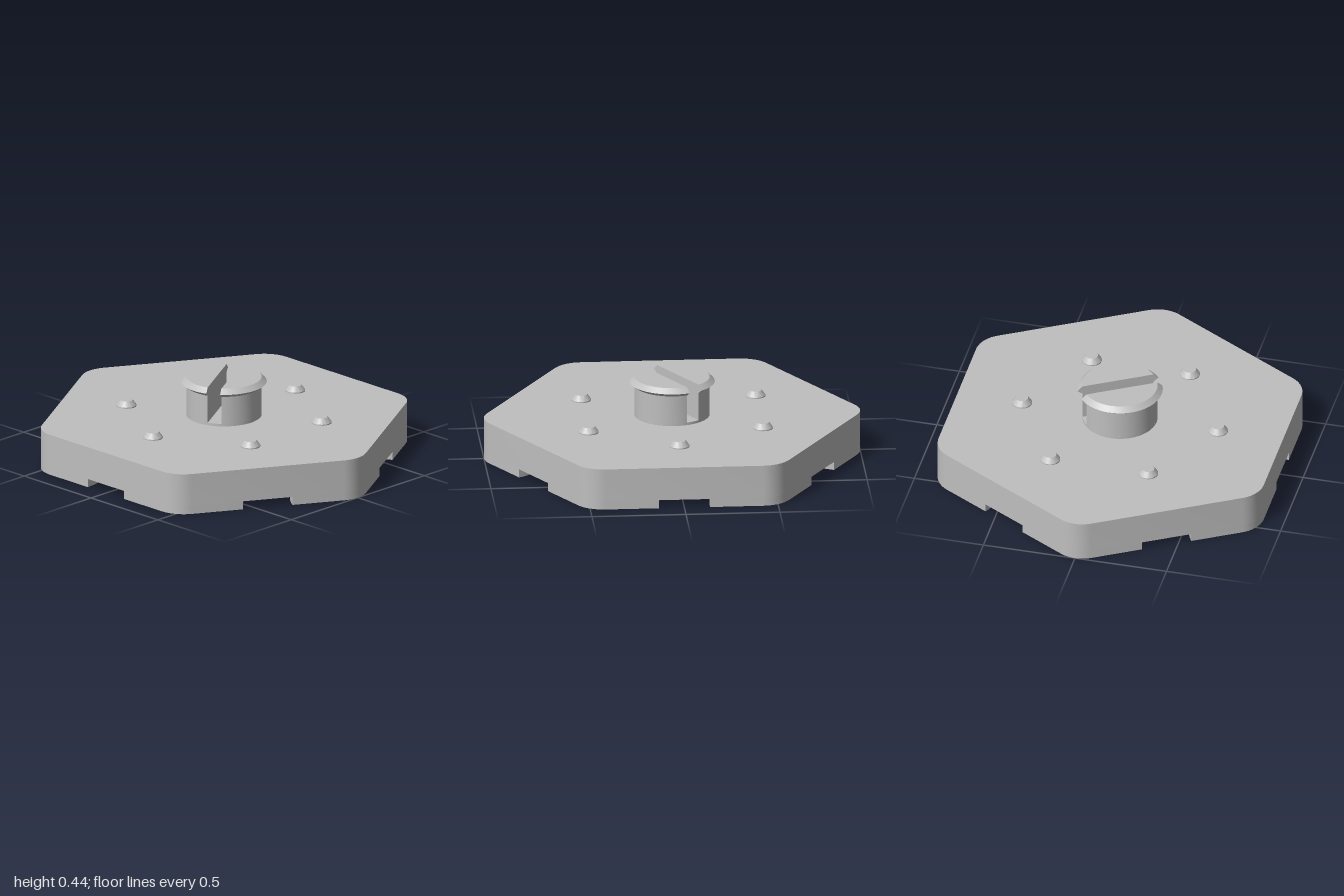
import * as THREE from 'three';
import { mergeGeometries, toCreasedNormals } from 'three/addons/utils/BufferGeometryUtils.js';

const DEG = Math.PI / 180;
const HEX = 1.0254, ROUND = 0.164;              // hexagon corner distance, corner rounding
const TOP = 0.224, GROOVE = 0.045;              // slab height, groove depth
const R_IN = 0.377, R_OUT = 0.649;              // groove radii around a corner
const PEG_R = 0.2, SLOT_HALF = 0.0375, SLOT_Y = 0.238;

// points of an arc in the (x, z) plane, angles in degrees
function arc(cx, cz, r, from, to, n) {
  return Array.from({ length: n + 1 }, (_, i) => {
    const a = (from + (to - from) * i / n) * DEG;
    return new THREE.Vector2(cx + r * Math.cos(a), cz + r * Math.sin(a));
  });
}
const polar = (r, deg) => [r * Math.cos(deg * DEG), r * Math.sin(deg * DEG)];
const roundedCorner = (deg) => arc(...polar(HEX - ROUND / Math.cos(30 * DEG), deg), ROUND, deg - 30, deg + 30, 10);
const grooveArc = (deg, r, from, to) => arc(...polar(HEX, deg), r, deg + from, deg + to, 32);

// side wall between two matching counterclockwise loops
function wall(lower, y0, upper, y1) {
  const pos = [];
  lower.forEach((a, i) => {
    const j = (i + 1) % lower.length;
    const b = lower[j], c = upper[j], d = upper[i];
    pos.push(a.x, y0, a.y, c.x, y1, c.y, b.x, y0, b.y);
    pos.push(a.x, y0, a.y, d.x, y1, d.y, c.x, y1, c.y);
  });
  const g = new THREE.BufferGeometry();
  g.setAttribute('position', new THREE.Float32BufferAttribute(pos, 3));
  return g;
}

// flat face filling a loop, looking up or down
function face(points, y, up) {
  const flat = points.map((p) => new THREE.Vector2(p.x, up ? -p.y : p.y));
  const g = new THREE.ShapeGeometry(new THREE.Shape(flat)).toNonIndexed();
  g.rotateX(up ? -Math.PI / 2 : Math.PI / 2).translate(0, y, 0);
  g.deleteAttribute('uv');
  g.deleteAttribute('normal');
  return g;
}

function part(name, geometries, material) {
  const mesh = new THREE.Mesh(toCreasedNormals(mergeGeometries(geometries), 32 * DEG), material);
  mesh.name = name;
  return mesh;
}

export function createModel() {
  const model = new THREE.Group();
  model.name = 'hexTile';
  const grey = new THREE.MeshStandardMaterial({ color: 0xbfbfbf });
  grey.name = 'grey';

  // hexagonal slab above the grooves
  const outline = [0, 1, 2, 3, 4, 5].flatMap((k) => roundedCorner(90 + 60 * k));
  model.add(part('slab', [wall(outline, GROOVE, outline, TOP), face(outline, TOP, true)], grey));

  // underside: three curved grooves, each around every other corner
  const grooveCorners = [90, 210, 330];
  const centre = grooveCorners.flatMap((d) => [...grooveArc(d, R_OUT, 240, 120), ...roundedCorner(d + 60)]);
  model.add(part('undersideCentre', [wall(centre, 0, centre, GROOVE), face(centre, 0, false)], grey));
  for (const d of grooveCorners) {
    const foot = [...roundedCorner(d), ...grooveArc(d, R_IN, 120, 240)];
    model.add(part('cornerFoot', [wall(foot, 0, foot, GROOVE), face(foot, 0, false)], grey));
    const band = [...grooveArc(d, R_IN, 240, 120), ...grooveArc(d, R_OUT, 120, 240)];
    model.add(part('grooveCeiling', [face(band, GROOVE, false)], grey));
  }

  // split snap peg with a flared lip
  const peg = new THREE.Group();
  peg.name = 'snapPeg';
  peg.rotation.y = 30 * DEG;
  const slotAngle = (r) => Math.asin(SLOT_HALF / r) / DEG;
  const halfRing = (r, turn) => arc(0, 0, r, turn + slotAngle(r), turn + 180 - slotAngle(r), 32);
  const profile = [[PEG_R, SLOT_Y], [PEG_R, 0.39], [0.227, 0.41], [PEG_R, 0.436]];
  for (const turn of [0, 180]) {
    const pieces = [face(halfRing(PEG_R, turn), 0.436, true)];
    for (let i = 0; i < profile.length - 1; i++) {
      const [r0, y0] = profile[i], [r1, y1] = profile[i + 1];
      pieces.push(wall(halfRing(r0, turn), y0, halfRing(r1, turn), y1));
    }
    peg.add(part('pegHalf', pieces, grey));
  }
  const s = slotAngle(PEG_R);
  const circle = arc(0, 0, PEG_R, 0, 354.375, 63);
  const floor = [...arc(0, 0, PEG_R, -s, s, 4), ...arc(0, 0, PEG_R, 180 - s, 180 + s, 4)];
  peg.add(part('pegBase', [wall(circle, TOP, circle, SLOT_Y), face(floor, SLOT_Y, true)], grey));
  model.add(peg);

  // ring of six small tapered studs
  const studProfile = [[0.053, 0], [0.053, 0.006], [0.033, 0.034], [0, 0.034]];
  const studGeometry = toCreasedNormals(
    new THREE.LatheGeometry(studProfile.map(([r, y]) => new THREE.Vector2(r, y)), 32), 32 * DEG);
  for (let k = 0; k < 6; k++) {
    const stud = new THREE.Mesh(studGeometry, grey);
    const [x, z] = polar(0.535, 60 * k);
    stud.position.set(x, TOP, z);
    stud.name = 'stud';
    model.add(stud);
  }
  return model;
}
